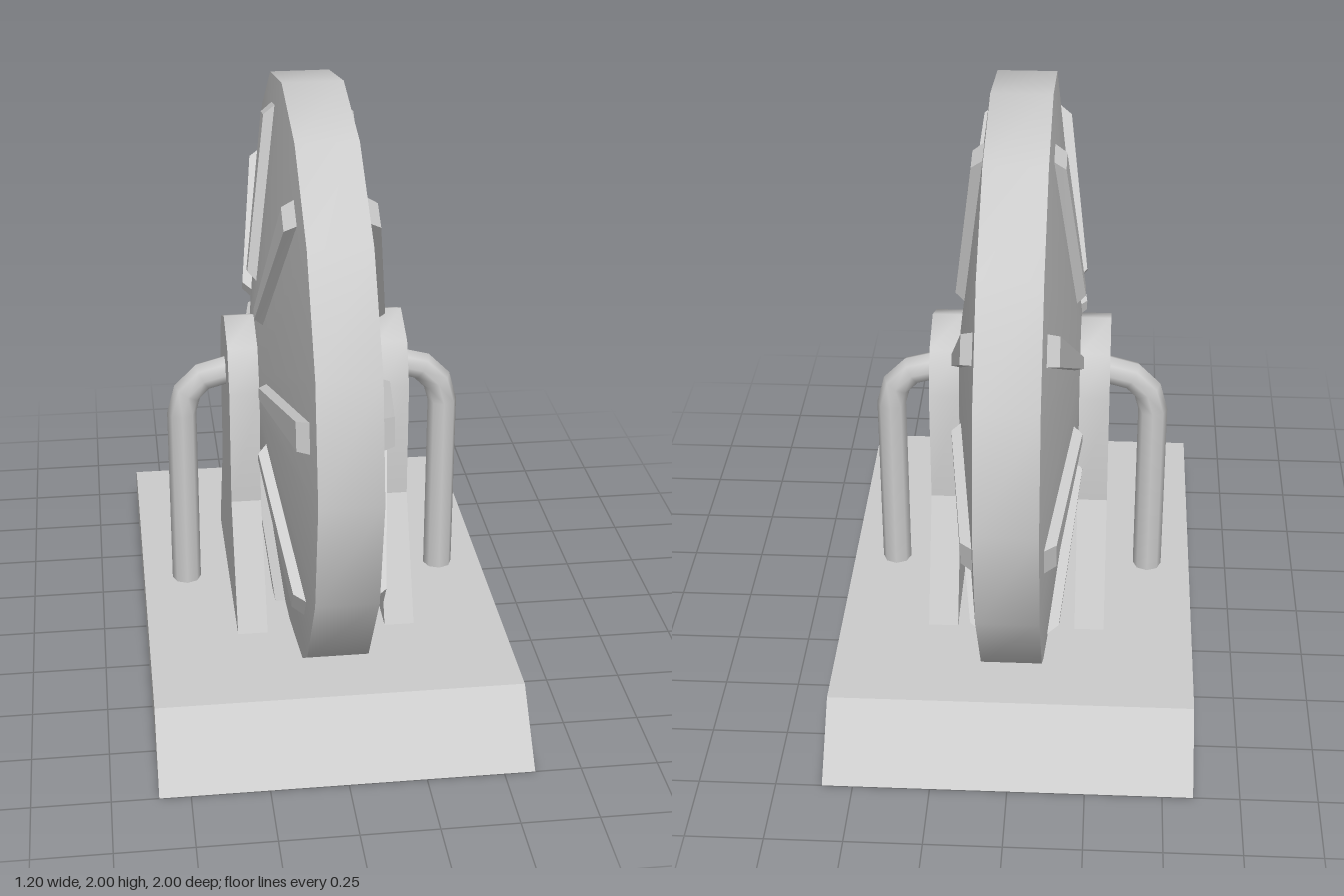
import * as THREE from 'three';
import { toCreasedNormals } from 'three/addons/utils/BufferGeometryUtils.js';

const material = new THREE.MeshStandardMaterial({ color: 0xcccccc });

function add(parent, name, geometry) {
  const mesh = new THREE.Mesh(geometry, material);
  mesh.name = name;
  parent.add(mesh);
  return mesh;
}

// Extrude a (z, y) profile along x, from x0 to x1
function slab(points, x0, x1) {
  const shape = new THREE.Shape(points.map(([z, y]) => new THREE.Vector2(-z, y)));
  const g = new THREE.ExtrudeGeometry(shape, { depth: x1 - x0, bevelEnabled: false });
  return g.rotateY(Math.PI / 2).translate(x0, 0, 0);
}

// Tapered rib lying on the conical wheel face: x outward, y radial, z across
function ribGeometry() {
  const g = new THREE.BoxGeometry(1, 1, 1);
  const p = g.attributes.position;
  for (let i = 0; i < p.count; i++) {
    const top = p.getX(i) > 0, outer = p.getY(i) > 0;
    const r = outer ? (top ? 0.865 : 0.9) : (top ? 0.34 : 0.3);
    const half = (outer ? 0.05 : 0.023) - (top ? 0.004 : 0);
    const surface = 0.2 - (r - 0.2) / 8;
    p.setXYZ(i, surface + (top ? 0.032 : -0.008), r, Math.sign(p.getZ(i)) * half);
  }
  g.computeVertexNormals();
  return g;
}

export function createModel() {
  const model = new THREE.Group();
  model.name = 'wheelOnStand';

  // Base with sloping front and back
  add(model, 'base', slab([[1, 0], [-1, 0], [-0.8, 0.2], [0.8, 0.2]].reverse(), -0.6, 0.6));

  // Sixteen-sided wheel, thicker at the hub
  const profile = [[0, -0.2], [0.2, -0.2], [1, -0.1], [1, 0.1], [0.2, 0.2], [0, 0.2]]
    .map(([r, x]) => new THREE.Vector2(r, x));
  const wheel = toCreasedNormals(new THREE.LatheGeometry(profile, 16), 0.6);
  add(model, 'wheel', wheel.rotateZ(Math.PI / 2)).position.y = 1;

  for (const s of [1, -1]) {
    const side = new THREE.Group();
    side.name = s > 0 ? 'leftSide' : 'rightSide';
    side.rotation.y = s > 0 ? 0 : Math.PI;
    model.add(side);

    // Ribs on the wheel face, lined up on both sides
    for (let k = 0; k < 8; k++) {
      const rib = add(side, 'rib', ribGeometry());
      rib.position.y = 1;
      rib.rotation.x = -s * (Math.PI / 16 + k * Math.PI / 4);
    }

    // Bracket: round-topped arm on a spreading foot
    const arm = [[-0.2, 0.6], [0.2, 0.6]];
    for (let i = 0; i <= 4; i++) {
      const a = i * Math.PI / 4;
      arm.push([0.2 * Math.cos(a), 1 + 0.2 * Math.sin(a)]);
    }
    add(side, 'bracketArm', toCreasedNormals(slab(arm, 0.2, 0.3), 0.9));
    add(side, 'bracketFoot', slab([[-0.4, 0.2], [0.4, 0.2], [0.2, 0.6], [-0.2, 0.6]], 0.2, 0.3));

    // Bent pipe from the bracket down to the base
    add(side, 'pipeBend', new THREE.TorusGeometry(0.15, 0.05, 8, 3, Math.PI / 2))
      .position.set(0.3, 0.85, 0);
    add(side, 'pipe', new THREE.CylinderGeometry(0.05, 0.05, 0.65, 8, 1, true).rotateY(Math.PI / 2))
      .position.set(0.45, 0.525, 0);
  }
  return model;
}
